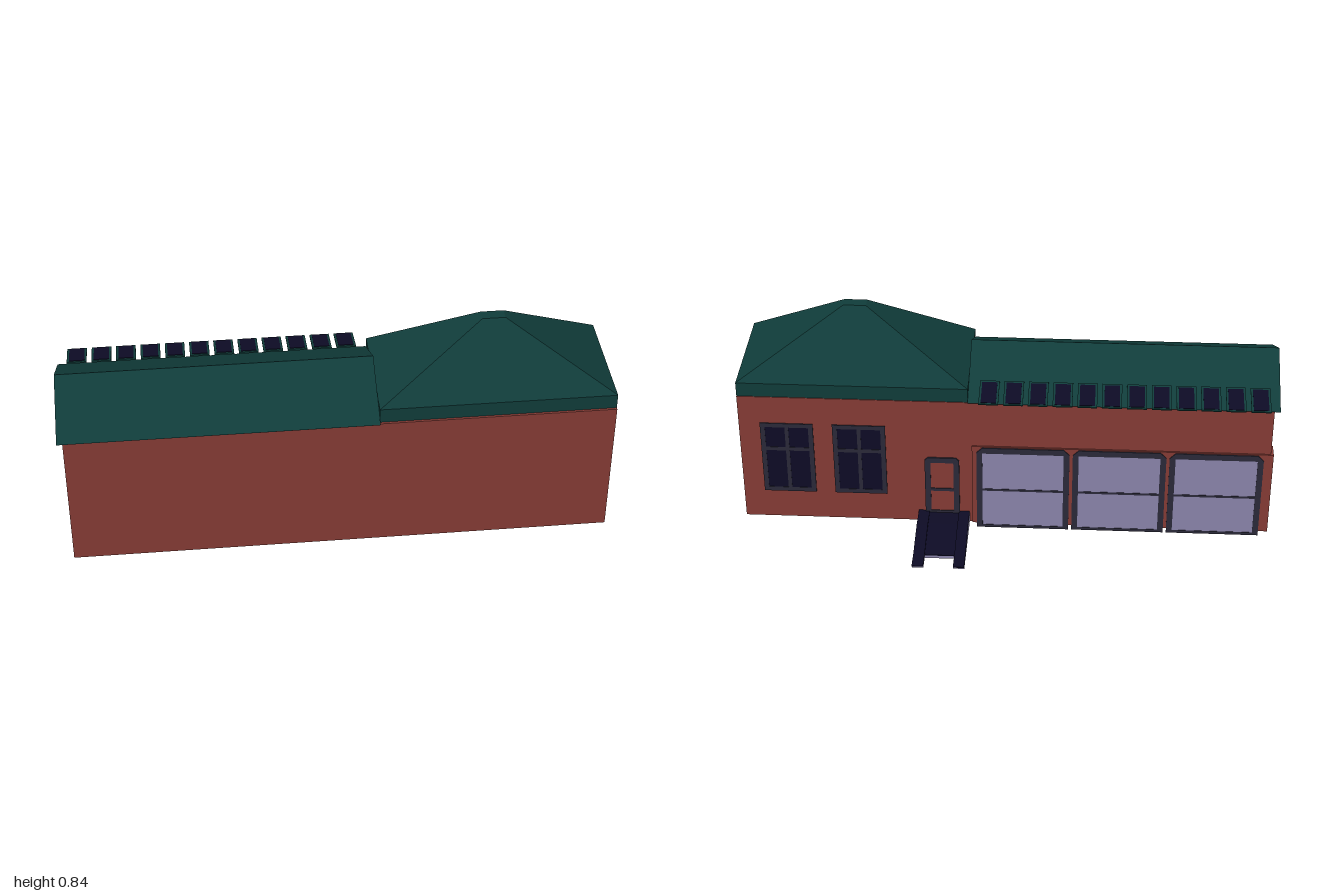
import * as THREE from 'three';

const mat = (name, color) => {
  const m = new THREE.MeshStandardMaterial({ color });
  m.name = name;
  return m;
};

export function createModel() {
  const brick = mat('brick', 0x853b35);
  const green = mat('roof green', 0x103c3a);
  const navy = mat('dark navy', 0x0d0b25);
  const slate = mat('frame slate', 0x2a2938);
  const lavender = mat('pale lavender', 0x8a83aa);

  const model = new THREE.Group();
  model.name = 'garageBuilding';

  const add = (name, geometry, material, parent = model) => {
    const mesh = new THREE.Mesh(geometry, material);
    mesh.name = name;
    parent.add(mesh);
    return mesh;
  };
  const group = (name) => {
    const g = new THREE.Group();
    g.name = name;
    model.add(g);
    return g;
  };
  // Box given by its limits on each axis
  const box = (name, [x0, x1], [y0, y1], [z0, z1], material, parent) => {
    const g = new THREE.BoxGeometry(x1 - x0, y1 - y0, z1 - z0);
    g.translate((x0 + x1) / 2, (y0 + y1) / 2, (z0 + z1) / 2);
    return add(name, g, material, parent);
  };
  // Profile of [z, y] points extruded along x
  const alongX = (name, points, x0, x1, material, parent) => {
    const shape = new THREE.Shape(points.map(([z, y]) => new THREE.Vector2(z, y)));
    const g = new THREE.ExtrudeGeometry(shape, { depth: x1 - x0, bevelEnabled: false });
    g.rotateY(-Math.PI / 2).translate(x1, 0, 0);
    return add(name, g, material, parent);
  };
  // Thin frame in the wall plane: outline points and rectangular openings
  const frame = (name, outline, openings, z0, z1, material, parent) => {
    const shape = new THREE.Shape(outline.map(([x, y]) => new THREE.Vector2(x, y)));
    for (const [x0, x1, y0, y1] of openings) {
      shape.holes.push(new THREE.Path([[x0, y0], [x0, y1], [x1, y1], [x1, y0]]
        .map(([x, y]) => new THREE.Vector2(x, y))));
    }
    const g = new THREE.ExtrudeGeometry(shape, { depth: z1 - z0, bevelEnabled: false });
    g.translate(0, 0, z0);
    return add(name, g, material, parent);
  };
  const rect = (x0, x1, y0, y1) => [[x0, y0], [x1, y0], [x1, y1], [x0, y1]];

  // Walls
  box('walls', [-0.98, 1], [0.017, 0.555], [-0.076, 0.371], brick);
  box('garageSurround', [-0.99, 0.13], [0.017, 0.366], [-0.082, -0.02], brick);
  alongX('gableWall', [[-0.074, 0.554], [0.37, 0.554], [0.148, 0.669]], -0.98, 0.12, brick);

  // Gable roof as a bent slab
  alongX('gableRoof', [
    [0.387, 0.562], [0.148, 0.692], [-0.091, 0.562],
    [-0.075, 0.552], [0.148, 0.67], [0.371, 0.552],
  ], -1, 0.143, green);

  // Hip roof lofted through rectangular rings
  const rings = [
    [0.143, 1, -0.073, 0.362, 0.555],
    [0.143, 1, -0.073, 0.362, 0.611],
    [0.53, 0.614, 0.122, 0.166, 0.841],
  ];
  const pos = [];
  const idx = [];
  for (const [x0, x1, z0, z1, y] of rings) {
    pos.push(x0, y, z1, x1, y, z1, x1, y, z0, x0, y, z0);
  }
  for (let r = 0; r < rings.length - 1; r++) {
    for (let i = 0; i < 4; i++) {
      const a = r * 4 + i;
      const b = r * 4 + (i + 1) % 4;
      idx.push(a, b, b + 4, a, b + 4, a + 4);
    }
  }
  idx.push(8, 9, 10, 8, 10, 11, 0, 2, 1, 0, 3, 2);
  let hip = new THREE.BufferGeometry();
  hip.setAttribute('position', new THREE.Float32BufferAttribute(pos, 3));
  hip.setIndex(idx);
  hip = hip.toNonIndexed();
  hip.computeVertexNormals();
  add('hipRoof', hip, green);

  // Row of tilted roof panels
  for (let i = 0; i < 12; i++) {
    const panel = group('roofPanel');
    panel.position.set(-0.926 + i * 0.09, 0.604, -0.08);
    panel.rotation.x = -0.21;
    box('panelFrame', [-0.036, 0.036], [-0.003, 0.002], [-0.062, 0.062], green, panel);
    box('panelGlass', [-0.028, 0.028], [0.002, 0.004], [-0.056, 0.052], navy, panel);
  }

  // Three garage doors with chamfered frames
  for (const [x0, x1] of [[-0.955, -0.607], [-0.595, -0.247], [-0.235, 0.113]]) {
    const door = group('garageDoor');
    const c = 0.022;
    frame('doorFrame', [
      [x0, 0], [x1, 0], [x1, 0.362 - c], [x1 - c, 0.362], [x0 + c, 0.362], [x0, 0.362 - c],
    ], [
      [x0 + 0.022, x1 - 0.022, 0.012, 0.169],
      [x0 + 0.022, x1 - 0.022, 0.178, 0.338],
    ], -0.086, -0.082, slate, door);
    box('doorPanel', [x0 + 0.02, x1 - 0.02], [0.01, 0.34], [-0.0845, -0.082], lavender, door);
  }

  // Four-pane windows
  for (const [x0, x1] of [[0.452, 0.65], [0.722, 0.92]]) {
    const win = group('window');
    const m = (x0 + x1) / 2;
    const openings = [];
    for (const [a, b] of [[x0 + 0.018, m - 0.007], [m + 0.007, x1 - 0.018]]) {
      openings.push([a, b, 0.158, 0.325], [a, b, 0.34, 0.428]);
    }
    frame('windowFrame', rect(x0, x1, 0.14, 0.445), openings, -0.085, -0.081, slate, win);
    box('windowGlass', [x0 + 0.016, x1 - 0.016], [0.156, 0.43], [-0.0835, -0.0815], navy, win);
  }

  // Entrance door
  const door = group('entranceDoor');
  frame('entranceFrame', [
    [0.178, 0.06], [0.308, 0.06], [0.308, 0.298], [0.296, 0.31], [0.19, 0.31], [0.178, 0.298],
  ], [[0.2, 0.286, 0.07, 0.16], [0.2, 0.286, 0.172, 0.288]], -0.084, -0.078, slate, door);
  box('entrancePanel', [0.198, 0.288], [0.066, 0.29], [-0.081, -0.077], brick, door);

  // Entrance ramp: pale base, dark deck and two side tracks
  const ramp = group('entranceRamp');
  const sides = [[0.141, 0.182], [0.293, 0.335]];
  for (const [x0, x1] of sides) {
    alongX('rampSide', [
      [-0.076, 0.017], [-0.076, 0.06], [-0.155, 0.06], [-0.3, 0.033], [-0.375, 0.033], [-0.375, 0.017],
    ], x0, x1, lavender, ramp);
    alongX('rampTrack', [
      [-0.076, 0.06], [-0.076, 0.064], [-0.175, 0.064], [-0.32, 0.036],
      [-0.39, 0.036], [-0.39, 0.033], [-0.3, 0.033], [-0.155, 0.06],
    ], x0, x1, navy, ramp);
  }
  alongX('rampBase', [
    [-0.076, 0.017], [-0.076, 0.057], [-0.155, 0.057], [-0.3, 0.03], [-0.315, 0.03], [-0.315, 0.017],
  ], 0.182, 0.293, lavender, ramp);
  alongX('rampDeck', [
    [-0.076, 0.057], [-0.076, 0.06], [-0.157, 0.06], [-0.302, 0.033],
    [-0.317, 0.033], [-0.317, 0.03], [-0.3, 0.03], [-0.155, 0.057],
  ], 0.182, 0.293, navy, ramp);

  return model;
}
